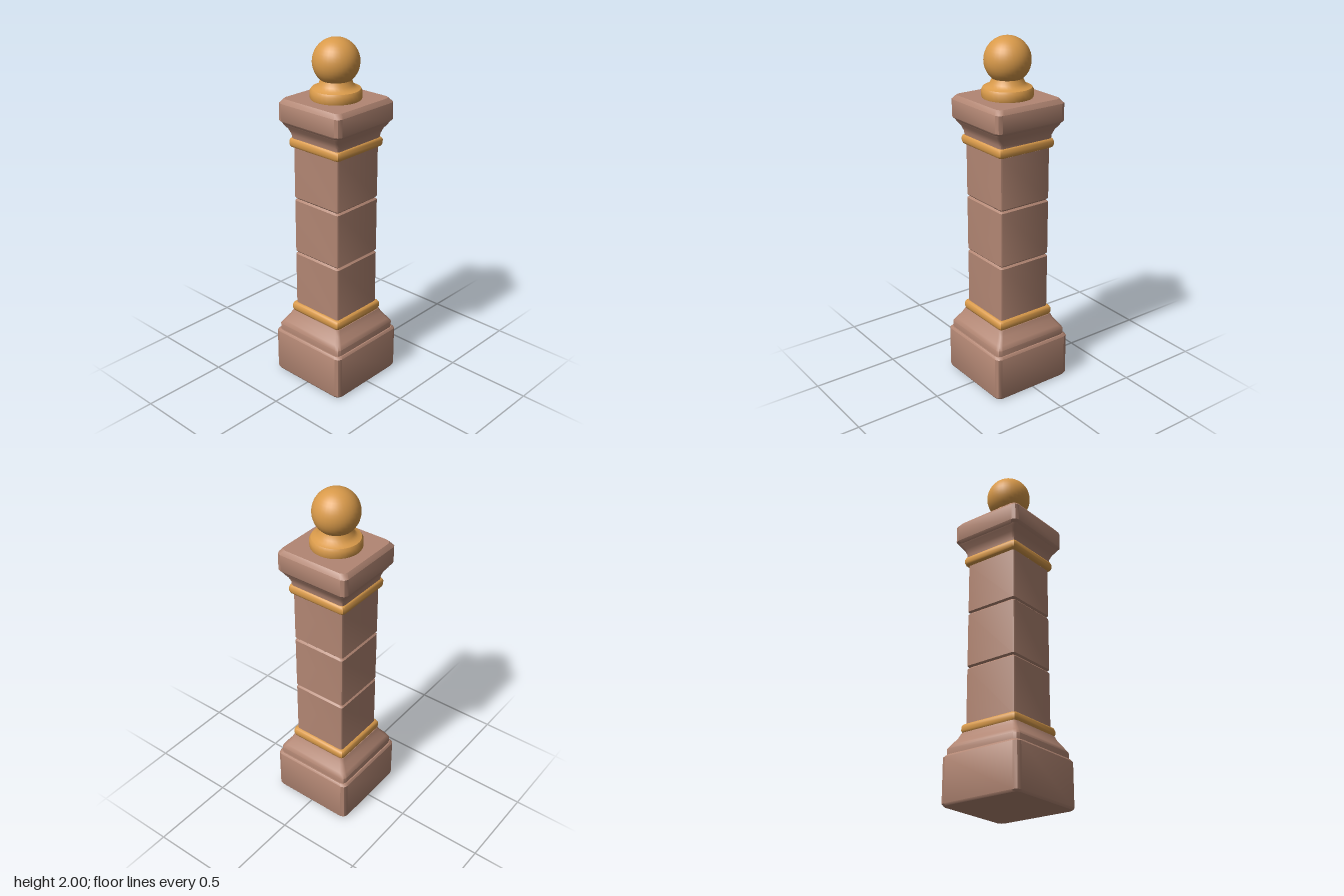
import * as THREE from 'three';
import { toCreasedNormals } from 'three/addons/utils/BufferGeometryUtils.js';

const stone = new THREE.MeshStandardMaterial({ color: 0xb28673 });
stone.name = 'stone';
const gold = new THREE.MeshStandardMaterial({ color: 0xd99a4a });
gold.name = 'gold';

// Square block with rounded corners, lofted through rings of [halfWidth, y, cornerRadius]
function squareLoft(rings, arcSteps = 2) {
  const pos = [], index = [], n = 4 * (arcSteps + 1);
  for (const [half, y, radius] of rings) {
    for (let corner = 0; corner < 4; corner++) {
      const mid = (corner + 0.5) * Math.PI / 2;
      const cx = Math.sign(Math.cos(mid)) * (half - radius);
      const cz = Math.sign(Math.sin(mid)) * (half - radius);
      for (let s = 0; s <= arcSteps; s++) {
        const a = (corner + s / arcSteps) * Math.PI / 2;
        pos.push(cx + radius * Math.cos(a), y, cz + radius * Math.sin(a));
      }
    }
  }
  const last = (rings.length - 1) * n;
  const bottom = rings.length * n, top = bottom + 1;
  pos.push(0, rings[0][1], 0, 0, rings[rings.length - 1][1], 0);
  for (let i = 0; i < n; i++) {
    const j = (i + 1) % n;
    for (let r = 0; r < last; r += n) {
      index.push(r + i, r + n + i, r + n + j, r + i, r + n + j, r + j);
    }
    index.push(bottom, i, j, top, last + j, last + i);
  }
  const geometry = new THREE.BufferGeometry();
  geometry.setAttribute('position', new THREE.Float32BufferAttribute(pos, 3));
  geometry.setIndex(index);
  return toCreasedNormals(geometry, 0.7);
}

// Block with bevelled top and bottom edges
function block(half, y0, y1, bevel, radius) {
  return squareLoft([
    [half - bevel, y0, radius], [half, y0 + bevel, radius],
    [half, y1 - bevel, radius], [half - bevel, y1, radius],
  ]);
}

export function createModel() {
  const model = new THREE.Group();
  model.name = 'pillar';
  const add = (name, geometry, material) => {
    const mesh = new THREE.Mesh(geometry, material);
    mesh.name = name;
    model.add(mesh);
    return mesh;
  };

  // Base
  add('plinth', squareLoft([
    [0.244, 0, 0.03], [0.252, 0.012, 0.03], [0.252, 0.258, 0.03], [0.243, 0.27, 0.035],
  ]), stone);
  add('baseMoulding', squareLoft([
    [0.236, 0.268, 0.025], [0.236, 0.305, 0.025], [0.222, 0.328, 0.025],
    [0.195, 0.365, 0.02], [0.182, 0.395, 0.02],
  ]), stone);

  // Shaft of three stacked blocks
  const joints = [0.435, 0.77, 1.1, 1.41];
  for (let i = 0; i < 3; i++) {
    add('shaftBlock' + (i + 1), block(0.164, joints[i], joints[i + 1], 0.01, 0.014), stone);
  }

  // Rounded metal bands
  for (const [name, y] of [['lowerBand', 0.39], ['upperBand', 1.402]]) {
    add(name, squareLoft([
      [0.168, y, 0.015], [0.179, y + 0.006, 0.018], [0.184, y + 0.018, 0.02],
      [0.184, y + 0.038, 0.02], [0.179, y + 0.05, 0.018], [0.168, y + 0.056, 0.015],
    ]), gold);
  }

  // Capital
  add('capitalNeck', squareLoft([
    [0.172, 1.45, 0.018], [0.174, 1.475, 0.018], [0.186, 1.505, 0.02],
    [0.205, 1.53, 0.025], [0.212, 1.545, 0.025],
  ]), stone);
  add('capitalSlab', squareLoft([
    [0.208, 1.537, 0.03], [0.223, 1.555, 0.03], [0.223, 1.652, 0.03], [0.204, 1.676, 0.03],
  ]), stone);

  // Finial
  const profile = [
    [0, 1.67], [0.135, 1.67], [0.14, 1.682], [0.14, 1.716], [0.132, 1.73],
    [0.11, 1.737], [0.094, 1.752], [0.084, 1.775], [0.078, 1.79], [0, 1.79],
  ].map(([r, y]) => new THREE.Vector2(r, y));
  add('finialCollar', toCreasedNormals(new THREE.LatheGeometry(profile, 32), 0.7), gold);
  add('finialBall', new THREE.SphereGeometry(0.127, 32, 20), gold).position.y = 1.873;

  return model;
}
